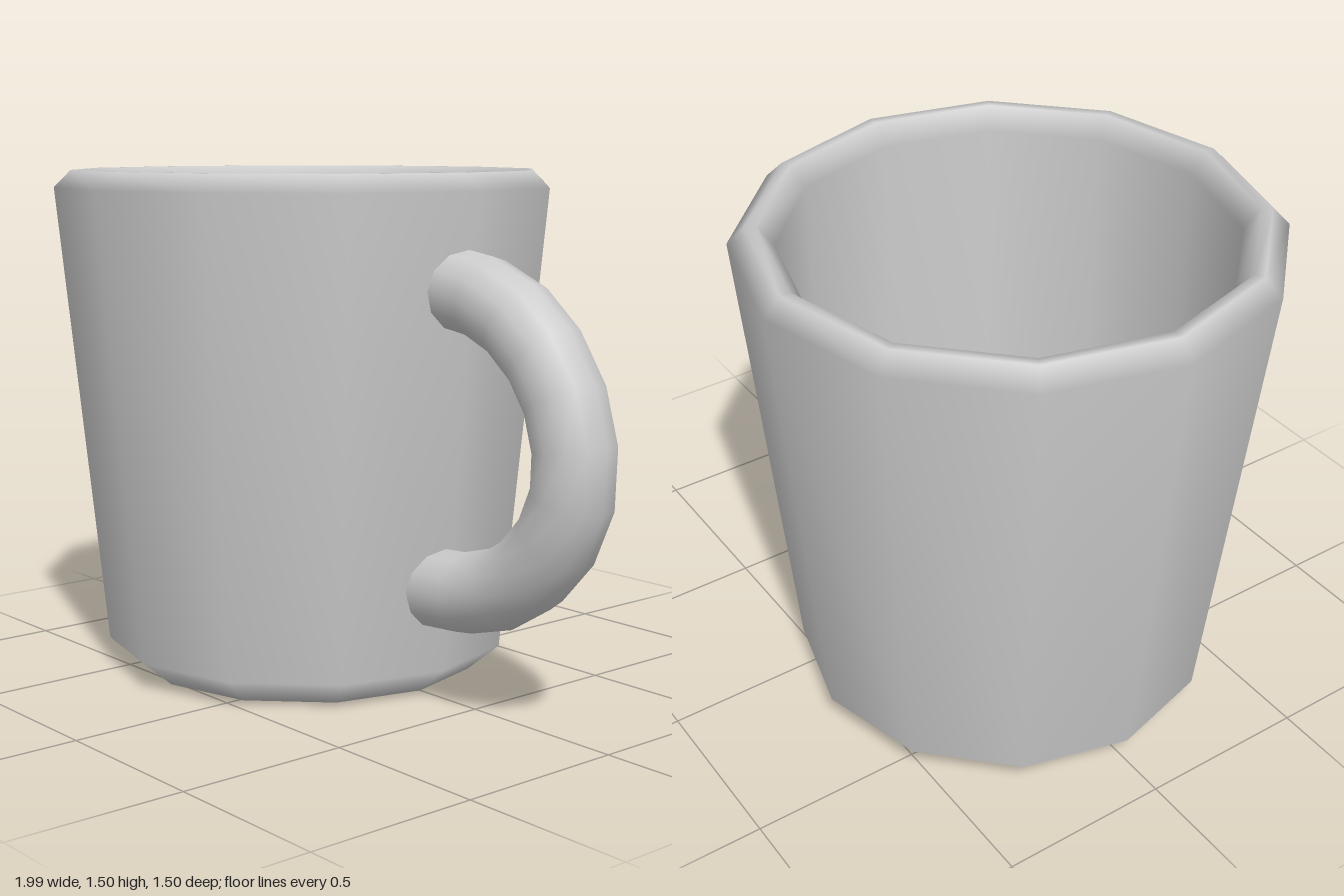
import * as THREE from 'three';

const SIDES = 12;
const CUP_X = -0.25;

export function createModel() {
  const group = new THREE.Group();
  group.name = 'mug';
  const material = new THREE.MeshStandardMaterial({ color: 0xcccccc });
  const add = (name, geometry, x, y, z) => {
    const mesh = new THREE.Mesh(geometry, material);
    mesh.name = name;
    mesh.position.set(x, y, z);
    group.add(mesh);
    return mesh;
  };
  const toPoints = (list) => list.map(([x, y]) => new THREE.Vector2(x, y));

  // Tapered body: underside, chamfered foot, outer wall, bevelled rim, inner wall
  const profile = toPoints([
    [0, 0], [0.52, 0], [0.615, 0.08], [0.75, 1.45], [0.7, 1.5],
    [0.67, 1.5], [0.625, 1.44], [0.605, 0.15],
  ]);
  add('body', new THREE.LatheGeometry(profile, SIDES), CUP_X, 0, 0);

  // Flat floor inside the cup
  const floor = new THREE.CircleGeometry(0.605, SIDES).rotateX(-Math.PI / 2);
  add('innerFloor', floor, CUP_X, 0.15, 0);

  // Handle: round tube on a tilted arc, both ends sunk into the wall
  const path = new THREE.CatmullRomCurve3(
    [
      [0.41, 1.187], [0.465, 1.18], [0.59, 1.155], [0.715, 1.08], [0.815, 0.97],
      [0.868, 0.845], [0.882, 0.715], [0.845, 0.585], [0.765, 0.475],
      [0.65, 0.39], [0.515, 0.343], [0.355, 0.33],
    ].map(([x, y]) => new THREE.Vector3(x, y, 0))
  );
  add('handle', new THREE.TubeGeometry(path, 11, 0.115, 12), 0, 0, 0.02);

  return group;
}
